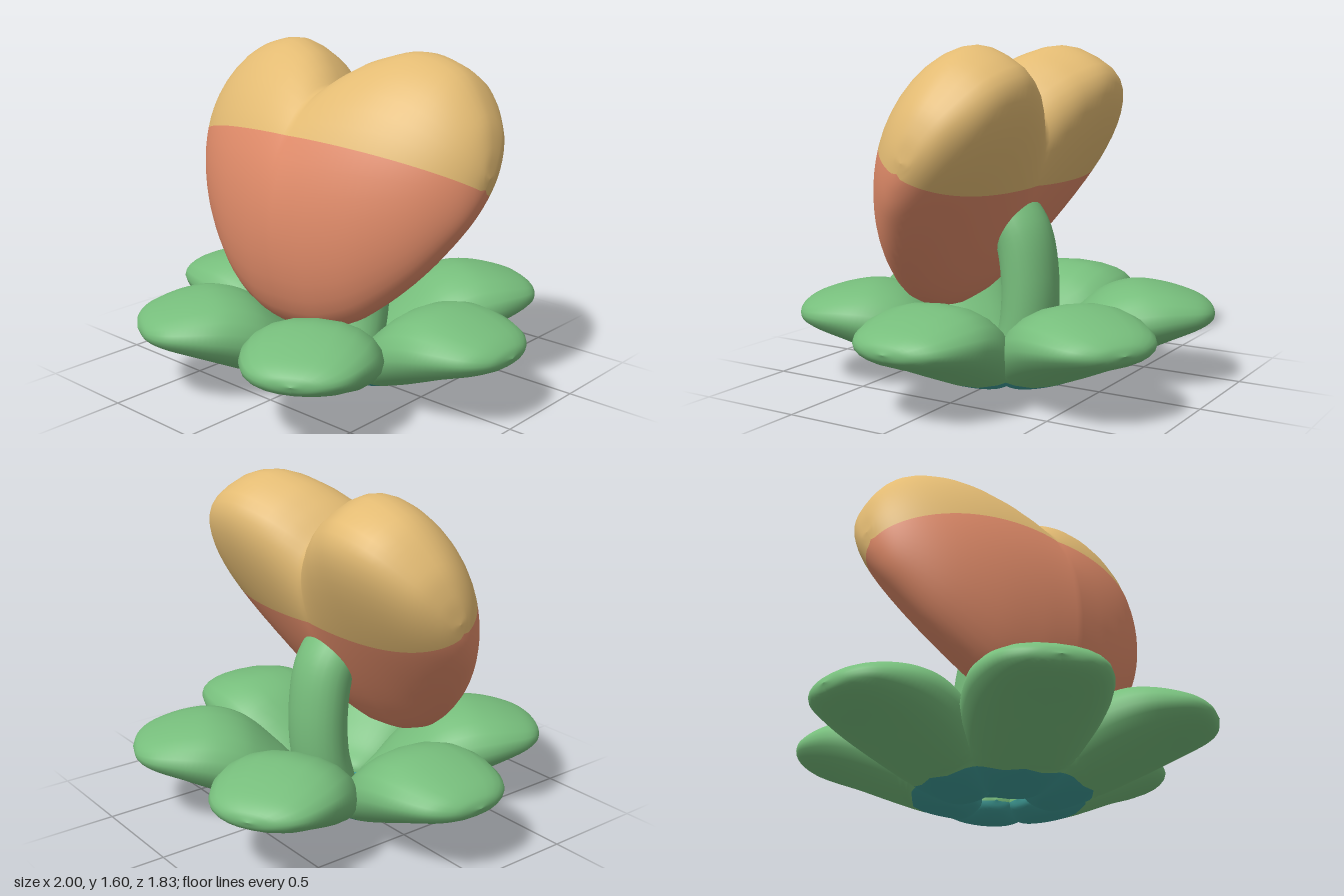
import * as THREE from 'three';

const mat = (name, color) => {
  const m = new THREE.MeshStandardMaterial({ color });
  m.name = name;
  return m;
};

const HALF = 20; // points per ring on each side of a colour line

// Angles round a slice; the first HALF lie above the line, the rest below
function splitAngles(mid, half, line) {
  const s0 = half > 1e-4 ? THREE.MathUtils.clamp((line - mid) / half, -1, 1) : -1;
  const a0 = Math.asin(s0);
  return Array.from({ length: 2 * HALF }, (_, j) => (j < HALF
    ? a0 + (Math.PI - 2 * a0) * (j / HALF)
    : Math.PI - a0 + (Math.PI + 2 * a0) * (j / HALF - 1)));
}

// Skin over closed rings: first material above the colour line, second below
function loft(rings) {
  const n = 2 * HALF;
  const faces = [[], []];
  for (let i = 0; i < rings.length - 1; i++) {
    for (let j = 0; j < n; j++) {
      const a = i * n + j, b = i * n + (j + 1) % n;
      faces[j < HALF ? 0 : 1].push(a, a + n, b + n, a, b + n, b);
    }
  }
  const g = new THREE.BufferGeometry();
  g.setAttribute('position', new THREE.Float32BufferAttribute(rings.flat(2), 3));
  g.setIndex([...faces[0], ...faces[1]]);
  g.addGroup(0, faces[0].length, 0);
  g.addGroup(faces[0].length, faces[1].length, 1);
  g.computeVertexNormals();
  return g;
}

const spline = (pts) => new THREE.CatmullRomCurve3(
  pts.map((p) => new THREE.Vector3(...p)), false, 'catmullrom', 0.5);

// Cosine with adjustable fullness: powers under 1 give rounder shoulders
const fullCos = (a, power) => Math.sign(Math.cos(a)) * Math.abs(Math.cos(a)) ** power;

// Heart: egg-shaped slices across x, the sides swept back
function heartGeometry() {
  const W = 0.84, STEPS = 36;
  // x, lower edge, upper edge
  const outline = spline([
    [0, 0.14, 1.24], [0.1, 0.147, 1.34], [0.22, 0.175, 1.425], [0.4, 0.27, 1.485],
    [0.61, 0.475, 1.425], [0.76, 0.7, 1.26], [0.82, 0.85, 1.12], [W, 0.985, 0.985],
  ]);
  const rings = [];
  for (let i = -STEPS; i <= STEPS; i++) {
    const p = outline.getPoint(Math.abs(i) / STEPS);
    const x = Math.min(p.x, W), mid = (p.y + p.z) / 2, half = (p.z - p.y) / 2;
    const thick = 0.314 * Math.sqrt(Math.max(0, 1 - (x / W) ** 2.8));
    const sweep = 0.08 * (x / W) ** 2;
    rings.push(splitAngles(mid, half, 0.92).map((a) => {
      const s = Math.sin(a), y = mid + half * s;
      const depth = thick * fullCos(a, s > 0 ? 1 - 0.25 * s : 1) * (1 + 0.2 * s);
      return [Math.sign(i) * x, y, 0.607 - sweep - 0.2 * (y - 0.95) ** 2 + depth];
    }));
  }
  return loft(rings);
}

// Petal: oval slices from the centre out along x
function petalGeometry() {
  // distance, top, bottom
  const profile = spline([
    [0.1, 0.09, 0.09], [0.12, 0.14, 0.04], [0.2, 0.2, 0.002], [0.3, 0.3, 0.02],
    [0.45, 0.43, 0.072], [0.6, 0.48, 0.135], [0.75, 0.468, 0.2], [0.9, 0.425, 0.257],
    [0.975, 0.382, 0.295], [1, 0.338, 0.338],
  ]);
  // distance, half width
  const widths = spline([
    [0.1, 0, 0], [0.12, 0.08, 0], [0.2, 0.165, 0], [0.3, 0.23, 0], [0.45, 0.288, 0],
    [0.6, 0.312, 0], [0.75, 0.3, 0], [0.9, 0.235, 0], [0.975, 0.135, 0], [1, 0, 0],
  ]);
  const STEPS = 54, rings = [];
  for (let i = 0; i <= STEPS; i++) {
    const p = profile.getPoint(i / STEPS), w = Math.max(0, widths.getPoint(i / STEPS).y);
    const mid = (p.y + p.z) / 2, half = Math.max(0, (p.y - p.z) / 2);
    const line = 0.085 - 0.7 * Math.max(0, p.x - 0.36);
    rings.push(splitAngles(mid, half, line).map(
      (a) => [p.x, mid + half * Math.sin(a), w * fullCos(a, 0.86)]));
  }
  return loft(rings);
}

export function createModel() {
  const green = mat('leaf green', 0x77be7c);
  const teal = mat('base teal', 0x3f9c97);
  teal.side = THREE.DoubleSide;
  const coral = mat('heart coral', 0xe08b69);
  const gold = mat('heart gold', 0xe3bb73);

  const model = new THREE.Group();
  model.name = 'heartFlower';
  const add = (name, geometry, material, parent = model) => {
    const m = new THREE.Mesh(geometry, material);
    m.name = name;
    parent.add(m);
    return m;
  };

  // Six upturned petals with teal undersides at the centre
  const petals = new THREE.Group();
  petals.name = 'petals';
  model.add(petals);
  const petal = petalGeometry();
  for (let k = 0; k < 6; k++) {
    add('petal', petal, [green, teal], petals).rotation.y = (k * Math.PI) / 3;
  }

  // Floor closing the middle
  const floor = add('centreFloor', new THREE.CircleGeometry(0.2, 24), teal);
  floor.rotation.x = -Math.PI / 2;
  floor.position.y = 0.1;

  // Oval stem curving forward into the back of the heart
  const path = spline([
    [0, 0.1, -0.07], [0, 0.3, -0.12], [0, 0.52, -0.125], [0, 0.72, -0.085], [0, 0.84, 0.02],
    [0, 0.88, 0.12],
  ]);
  const stem = add('stem', new THREE.TubeGeometry(path, 32, 0.132, 24), green);
  stem.scale.x = 1.22;

  // Heart leaning back
  const heart = add('heart', heartGeometry(), [gold, coral]);
  heart.rotation.x = THREE.MathUtils.degToRad(-28);
  heart.position.x = 0.01;

  return model;
}
